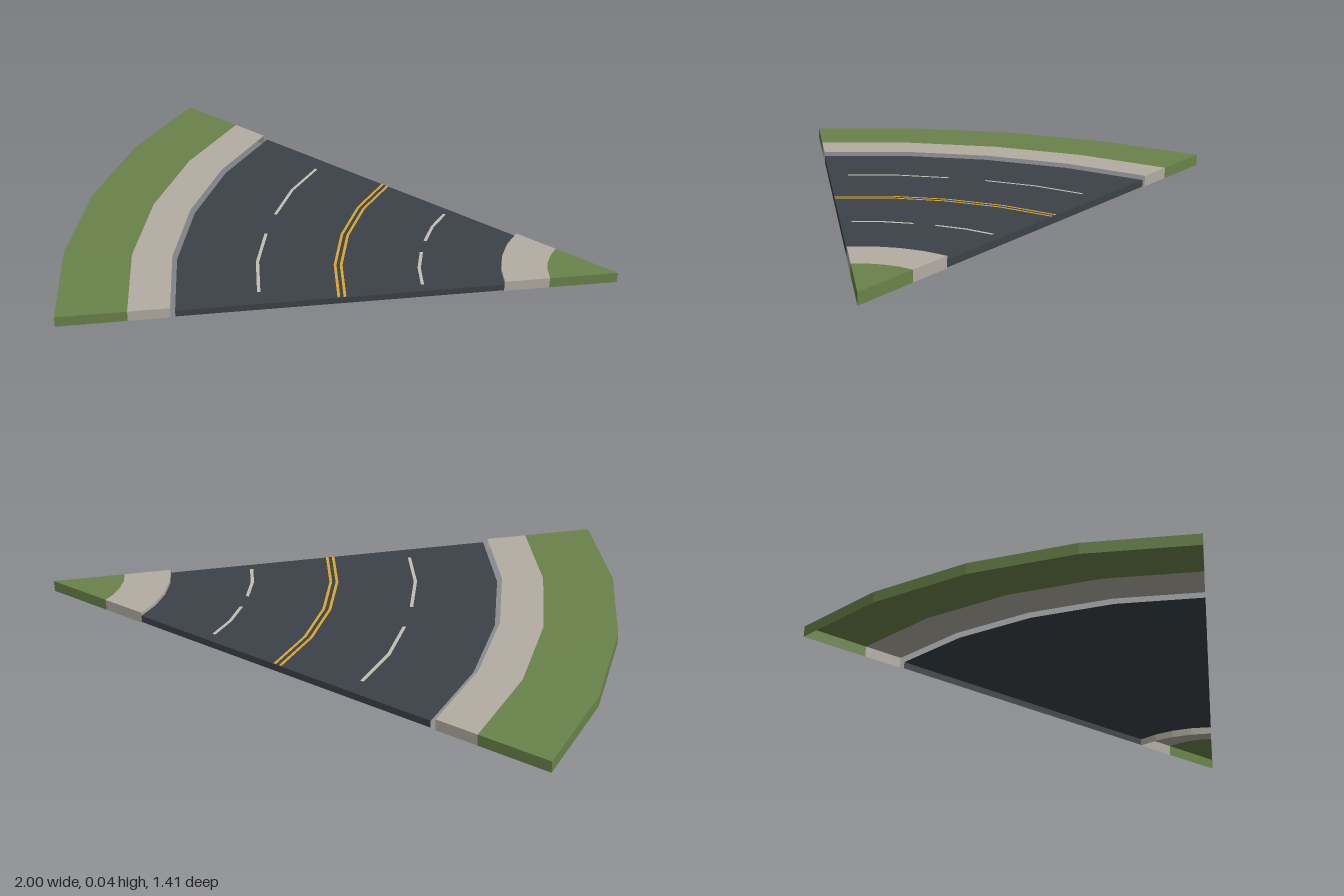
import * as THREE from 'three';

const STEP = 11.25; // the 45 degree bend is made of four straight steps
const RAD = Math.PI / 180;

// Point at a radius, an angle in degrees and a height, lying on the faceted arc
function polar(radius, deg, y) {
  const middle = (Math.min(Math.floor(deg / STEP), 3) + 0.5) * STEP;
  const r = radius * Math.cos(STEP / 2 * RAD) / Math.cos((deg - middle) * RAD);
  return [1 - r * Math.cos(deg * RAD), y, -0.707 + r * Math.sin(deg * RAD)];
}

// Curved band between two radii, open below, with optional walls
function band(name, material, r0, r1, top, { bottom = 0, from = 0, to = 45, ends = false, outerWall = false } = {}) {
  const position = [];
  const quad = (a, b, c, d) => position.push(...a, ...b, ...c, ...a, ...c, ...d);
  const angles = [from];
  for (let i = 1; i < 4; i++) {
    if (i * STEP > from && i * STEP < to) angles.push(i * STEP);
  }
  angles.push(to);

  for (let i = 0; i < angles.length - 1; i++) {
    const s = angles[i], t = angles[i + 1];
    quad(polar(r0, s, top), polar(r1, s, top), polar(r1, t, top), polar(r0, t, top));
    if (outerWall) quad(polar(r1, s, bottom), polar(r1, t, bottom), polar(r1, t, top), polar(r1, s, top));
  }
  if (ends) {
    quad(polar(r0, from, bottom), polar(r1, from, bottom), polar(r1, from, top), polar(r0, from, top));
    quad(polar(r1, to, bottom), polar(r0, to, bottom), polar(r0, to, top), polar(r1, to, top));
  }

  const geometry = new THREE.BufferGeometry();
  geometry.setAttribute('position', new THREE.Float32BufferAttribute(position, 3));
  geometry.computeVertexNormals();
  const mesh = new THREE.Mesh(geometry, material);
  mesh.name = name;
  return mesh;
}

function flatColour(name, color) {
  const material = new THREE.MeshStandardMaterial({ color, side: THREE.DoubleSide, flatShading: true });
  material.name = name;
  return material;
}

export function createModel() {
  const model = new THREE.Group();
  model.name = 'roadBend';
  const grass = flatColour('grass green', 0x6a834a);
  const paving = flatColour('paving grey', 0xb3ada2);
  const asphalt = flatColour('asphalt', 0x3c4248);
  const yellow = flatColour('line yellow', 0xd9a632);
  const white = flatColour('dash white', 0xc2beb3);

  // Verges and pavements
  const H = 0.04;
  model.add(
    band('outerGrass', grass, 1.75, 2, H, { ends: true, outerWall: true }),
    band('outerPavement', paving, 1.602, 1.75, H, { ends: true }),
    band('innerPavement', paving, 0.25, 0.415, H, { ends: true, outerWall: true }),
    band('innerGrass', grass, 0, 0.25, H, { ends: true })
  );

  // Carriageway
  const roadTop = 0.028;
  model.add(band('road', asphalt, 0.415, 1.585, roadTop, { bottom: 0.003, ends: true }));

  // Double centre line
  for (const r of [0.989, 1.011]) {
    model.add(band('centreLine', yellow, r - 0.005, r + 0.005, roadTop + 0.002));
  }

  // Lane dashes
  for (const r of [0.708, 1.292]) {
    for (const [from, to] of [[3, 19.5], [25.5, 42]]) {
      model.add(band('laneDash', white, r - 0.006, r + 0.006, roadTop + 0.002, { from, to }));
    }
  }
  return model;
}
